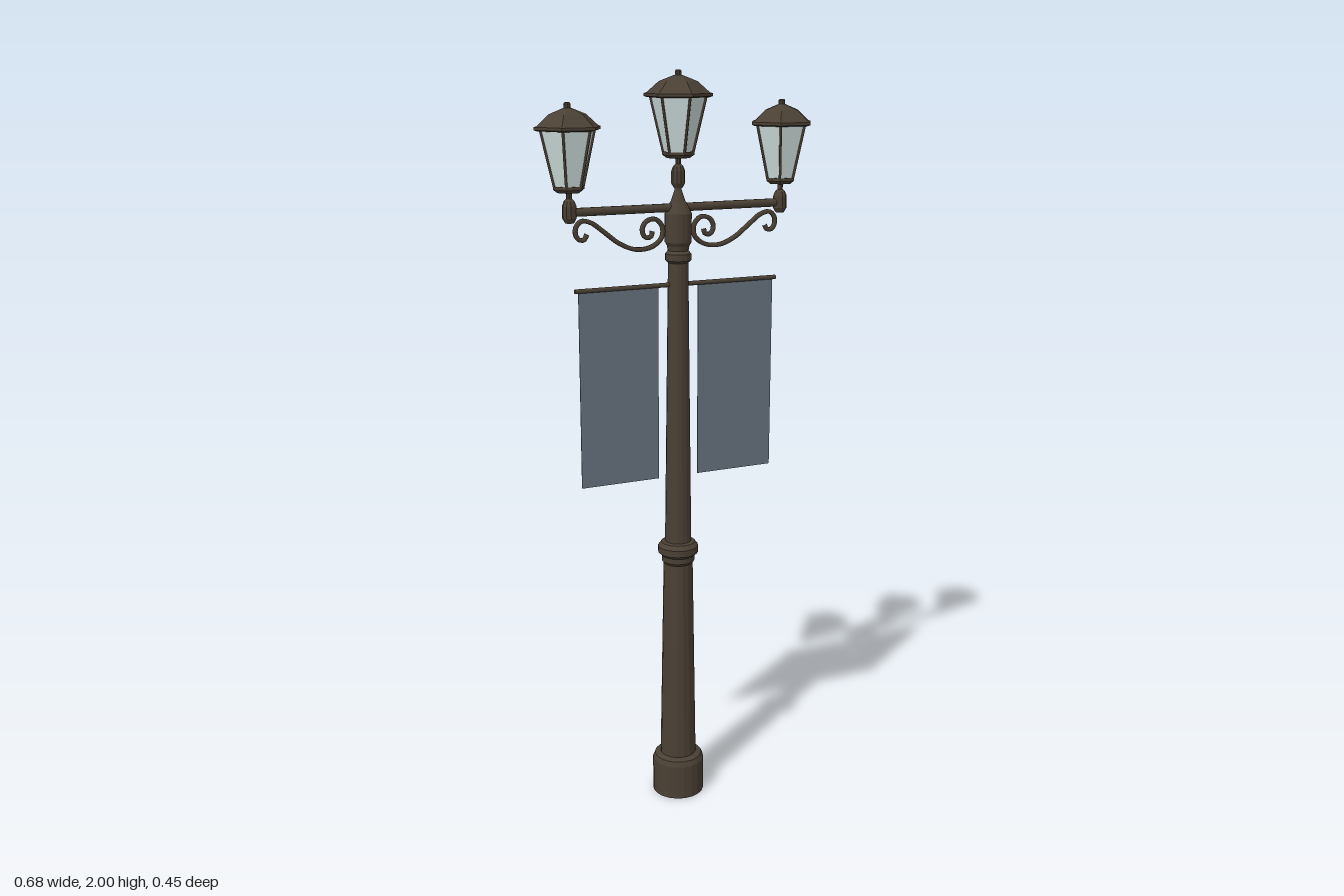
import * as THREE from 'three';

const iron = new THREE.MeshStandardMaterial({ color: 0x4a4034, flatShading: true, side: THREE.DoubleSide });
const ironSmooth = new THREE.MeshStandardMaterial({ color: 0x4a4034 });
const glass = new THREE.MeshStandardMaterial({ color: 0xd0e0de, flatShading: true });
const cloth = new THREE.MeshStandardMaterial({ color: 0x66727e, side: THREE.DoubleSide });

function part(name, geometry, material, x = 0, y = 0, z = 0) {
  const mesh = new THREE.Mesh(geometry, material);
  mesh.name = name;
  mesh.position.set(x, y, z);
  return mesh;
}

// Turned shape from [radius, height] pairs, bottom to top
function turned(name, points, sides, material = iron) {
  return part(name, new THREE.LatheGeometry(points.map(([r, y]) => new THREE.Vector2(r, y)), sides), material);
}

// Round bar between two points
function bar(name, a, b, radius, sides = 8) {
  const dir = b.clone().sub(a);
  const mesh = part(name, new THREE.CylinderGeometry(radius, radius, dir.length(), sides), ironSmooth);
  mesh.position.copy(a).add(b).multiplyScalar(0.5);
  mesh.quaternion.setFromUnitVectors(new THREE.Vector3(0, 1, 0), dir.normalize());
  return mesh;
}

// Six-sided lantern; y = 0 is the bottom of its urn-shaped foot
function makeLantern(name) {
  const g = new THREE.Group();
  g.name = name;
  g.add(turned('lanternFoot', [
    [0, 0], [0.011, 0], [0.018, 0.012], [0.018, 0.042], [0.013, 0.055],
    [0.007, 0.06], [0.007, 0.072], [0.012, 0.078], [0, 0.08]], 10));
  g.add(turned('lanternTray', [[0, 0.075], [0.03, 0.075], [0.041, 0.083], [0.041, 0.091], [0, 0.091]], 6));
  g.add(part('lanternGlass', new THREE.CylinderGeometry(0.07, 0.037, 0.14, 6), glass, 0, 0.16));
  for (let i = 0; i < 6; i++) {
    const a = i * Math.PI / 3, s = Math.sin(a), c = Math.cos(a);
    g.add(bar('lanternStrut', new THREE.Vector3(s * 0.038, 0.088, c * 0.038),
      new THREE.Vector3(s * 0.072, 0.232, c * 0.072), 0.0035, 5));
  }
  g.add(turned('lanternRoof', [
    [0, 0.224], [0.078, 0.224], [0.087, 0.227], [0.087, 0.234], [0.08, 0.236],
    [0.049, 0.263], [0.01, 0.278], [0, 0.279]], 6));
  g.add(turned('lanternFinial', [[0.008, 0.275], [0.009, 0.287], [0.006, 0.291], [0, 0.291]], 8));
  return g;
}

// S-shaped scroll bracket: small outer curl, long sweep, larger inner curl
function makeScroll() {
  const path = [
    [0.252, 1.604], [0.258, 1.592], [0.27, 1.59], [0.281, 1.602], [0.281, 1.622],
    [0.266, 1.637], [0.24, 1.632], [0.205, 1.607], [0.165, 1.577], [0.12, 1.559],
    [0.075, 1.563], [0.047, 1.585], [0.045, 1.613], [0.064, 1.633],
    [0.09, 1.628], [0.101, 1.607], [0.092, 1.588], [0.076, 1.59], [0.073, 1.603]];
  const curve = new THREE.CatmullRomCurve3(path.map(([x, y]) => new THREE.Vector3(x, y, 0)));
  return part('scrollBracket', new THREE.TubeGeometry(curve, 72, 0.0065, 6), ironSmooth);
}

export function createModel() {
  const model = new THREE.Group();
  model.name = 'streetLamp';

  // Post: plinth, tapered lower shaft, ring, slim upper shaft, collars and cap
  const post = new THREE.Group();
  post.name = 'post';
  post.add(turned('plinth', [[0, 0], [0.072, 0], [0.072, 0.098], [0.066, 0.112], [0.05, 0.118]], 20));
  post.add(turned('lowerShaft', [[0.05, 0.115], [0.04, 0.7]], 16));
  post.add(turned('middleRing', [
    [0.04, 0.693], [0.045, 0.7], [0.045, 0.715], [0.055, 0.724], [0.055, 0.742], [0.046, 0.754], [0.034, 0.757]], 20));
  post.add(turned('upperShaft', [[0.036, 0.75], [0.026, 1.56]], 16));
  post.add(turned('upperCollar', [
    [0.026, 1.518], [0.034, 1.525], [0.034, 1.542], [0.027, 1.55], [0.029, 1.562],
    [0.035, 1.572], [0.035, 1.645], [0.028, 1.66], [0.018, 1.678], [0.009, 1.705], [0.009, 1.715]], 16));
  model.add(post);

  // Everything carried by the post lies along one line, turned about the post
  const head = new THREE.Group();
  head.name = 'lampHead';
  head.rotation.y = Math.atan2(0.14, 0.262);
  model.add(head);

  head.add(bar('crossArm', new THREE.Vector3(-0.297, 1.66, 0), new THREE.Vector3(0.297, 1.66, 0), 0.011, 10));
  head.add(bar('bannerRod', new THREE.Vector3(-0.287, 1.462, 0), new THREE.Vector3(0.287, 1.462, 0), 0.006));
  const centreLantern = makeLantern('centreLantern');
  centreLantern.position.y = 1.709;
  head.add(centreLantern);

  for (const side of [1, -1]) {
    const half = new THREE.Group();
    half.name = side > 0 ? 'leftArm' : 'rightArm';
    half.rotation.y = side > 0 ? 0 : Math.PI;
    const lantern = makeLantern('sideLantern');
    lantern.position.set(0.297, 1.634, 0);
    lantern.rotation.y = Math.PI / 6;
    half.add(lantern, makeScroll());
    half.add(part('banner', new THREE.BoxGeometry(0.221, 0.52, 0.002), cloth, 0.1675, 1.201));
    head.add(half);
  }
  return model;
}
